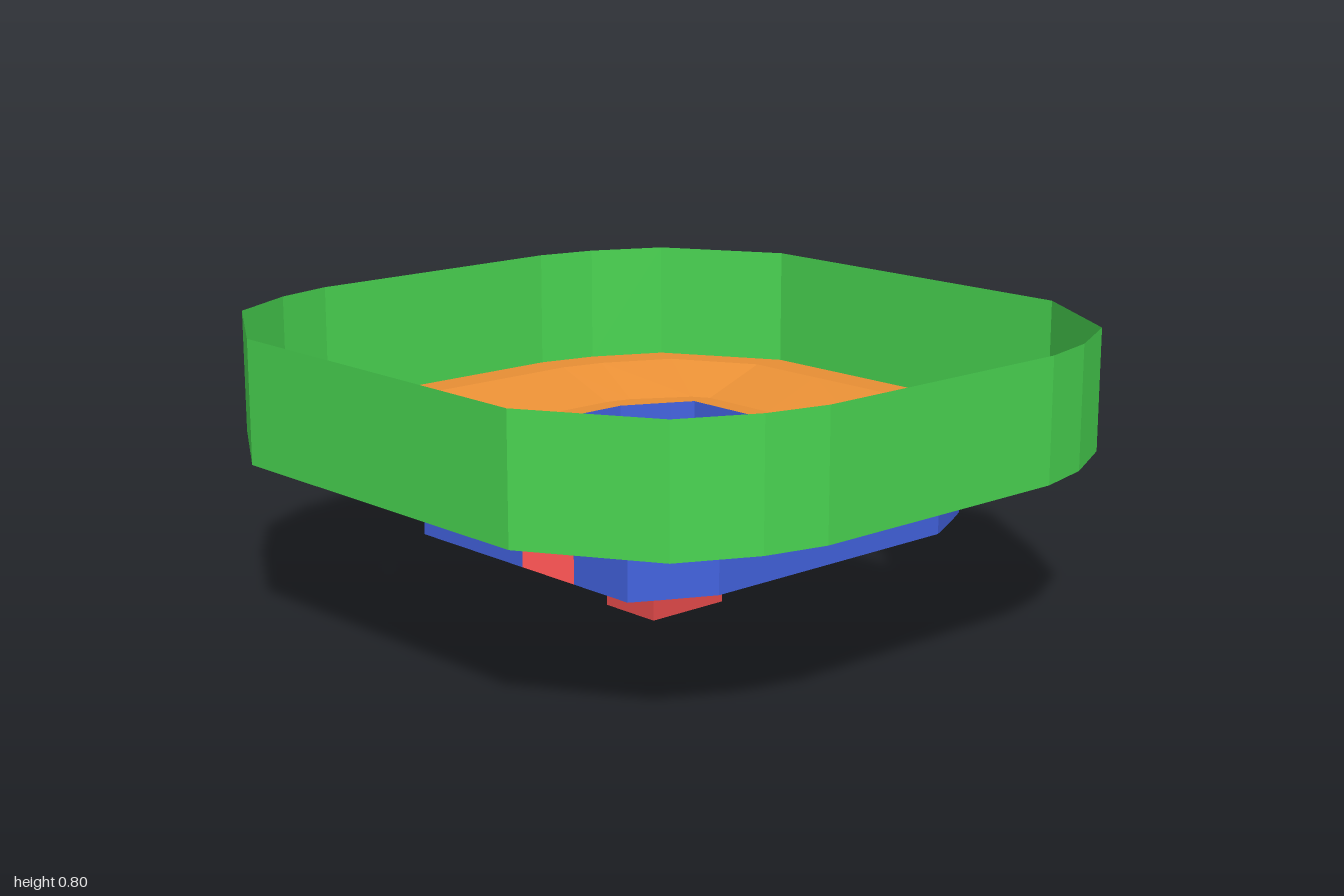
import * as THREE from 'three';

const mat = (color) => new THREE.MeshStandardMaterial({ color, flatShading: true, side: THREE.DoubleSide });
const GREEN = mat(0x4ad652), ORANGE = mat(0xe88f35), BLUE = mat(0x4363e0), RED = mat(0xe84c4c), GREY = mat(0xcccccc);

const FLOOR = 0.255, STEP = 0.295, RIM = 0.385, LEDGE = 0.46, TOP = 0.795;
const STEP_Z = -0.28, DOOR = [0.13, 0.33], SIDE_Z = 0.53;

// Closed rounded-octagon outline; corner holds the two points between end and side edges.
function outline(x, z, corner, y) {
  const [c1, c2] = corner;
  const half = [
    [0.4, -z], [c1[0], -c1[1]], [c2[0], -c2[1]], [x, -SIDE_Z], [x, STEP_Z],
    [x, DOOR[0]], [x, DOOR[1]], [x, SIDE_Z], c2, c1, [0.4, z],
  ];
  const mirrored = half.map(([px, pz]) => [-px, pz]).reverse();
  return [...half, ...mirrored].map(([px, pz]) => new THREE.Vector3(px, y, pz));
}
const atHeight = (loop, y) => loop.map((p) => new THREE.Vector3(p.x, y, p.z));

// Band of flat quads between two matching loops; segments listed in skip stay open.
function band(lower, upper, skip = []) {
  const points = [];
  const n = lower.length;
  for (let i = 0; i < n; i++) {
    if (skip.includes(i)) continue;
    const j = (i + 1) % n;
    points.push(lower[i], upper[i], upper[j], lower[i], upper[j], lower[j]);
  }
  const geometry = new THREE.BufferGeometry().setFromPoints(points);
  geometry.computeVertexNormals();
  return geometry;
}

// Flat horizontal panel from [x, z] corners.
function panel(corners, y) {
  const shape = new THREE.Shape(corners.map(([x, z]) => new THREE.Vector2(x, -z)));
  return new THREE.ShapeGeometry(shape).rotateX(-Math.PI / 2).translate(0, y, 0);
}

export function createModel() {
  const group = new THREE.Group();
  const add = (name, geometry, material) => {
    const mesh = new THREE.Mesh(geometry, material);
    mesh.name = name;
    group.add(mesh);
    return mesh;
  };

  // Outlines from the outside in
  const outer = outline(0.97, 1, [[0.57, 0.96], [0.77, 0.86]], LEDGE);
  const slopeTop = outline(0.87, 0.9, [[0.53, 0.87], [0.73, 0.77]], LEDGE);
  const slopeBase = outline(0.67, 0.7, [[0.48, 0.68], [0.64, 0.58]], RIM);
  const inner = outline(0.605, 0.635, [[0.47, 0.6], [0.54, 0.565]], RIM);
  slopeBase[5].y = slopeBase[6].y = 0.376; // slight dip beside one doorway

  // Tall outer wall
  add('outerWall', band(outer, atHeight(outer, TOP)), GREEN);

  // Ledge, sloped bank and inner rim
  add('ledge', band(outer, slopeTop), ORANGE);
  add('slopedBank', band(slopeTop, slopeBase), ORANGE);
  add('innerRim', band(slopeBase, inner), ORANGE);

  // Inner wall with a doorway on each side; shallower around the raised step
  const doors = [5, 15];
  const n = inner.length;
  const raised = inner.map((p, i) => (p.z + inner[(i + 1) % n].z) / 2 < STEP_Z);
  const all = inner.map((_, i) => i);
  const high = all.filter((i) => !raised[i]);
  const low = all.filter((i) => raised[i]);
  add('innerWallFront', band(atHeight(inner, FLOOR), inner, [...low, ...doors]), BLUE);
  add('innerWallBack', band(atHeight(inner, STEP), inner, high), BLUE);

  // Riser between the two floor levels
  const riser = add('stepRiser', new THREE.PlaneGeometry(1.21, STEP - FLOOR), BLUE);
  riser.position.set(0, (FLOOR + STEP) / 2, STEP_Z);

  // Main floor and raised back floor
  const w = 0.605, d = 0.635;
  add('mainFloor', panel([[-w, STEP_Z], [w, STEP_Z], [w, SIDE_Z], [0.4, d], [-0.4, d], [-w, SIDE_Z]], FLOOR), RED);
  add('raisedFloor', panel([[-w, STEP_Z], [w, STEP_Z], [w, -SIDE_Z], [0.4, -d], [-0.4, -d], [-w, -SIDE_Z]], STEP), GREY);

  // Supporting post
  const post = add('post', new THREE.BoxGeometry(0.255, FLOOR - 0.001, 0.19), RED);
  post.position.y = (FLOOR - 0.001) / 2;

  return group;
}
